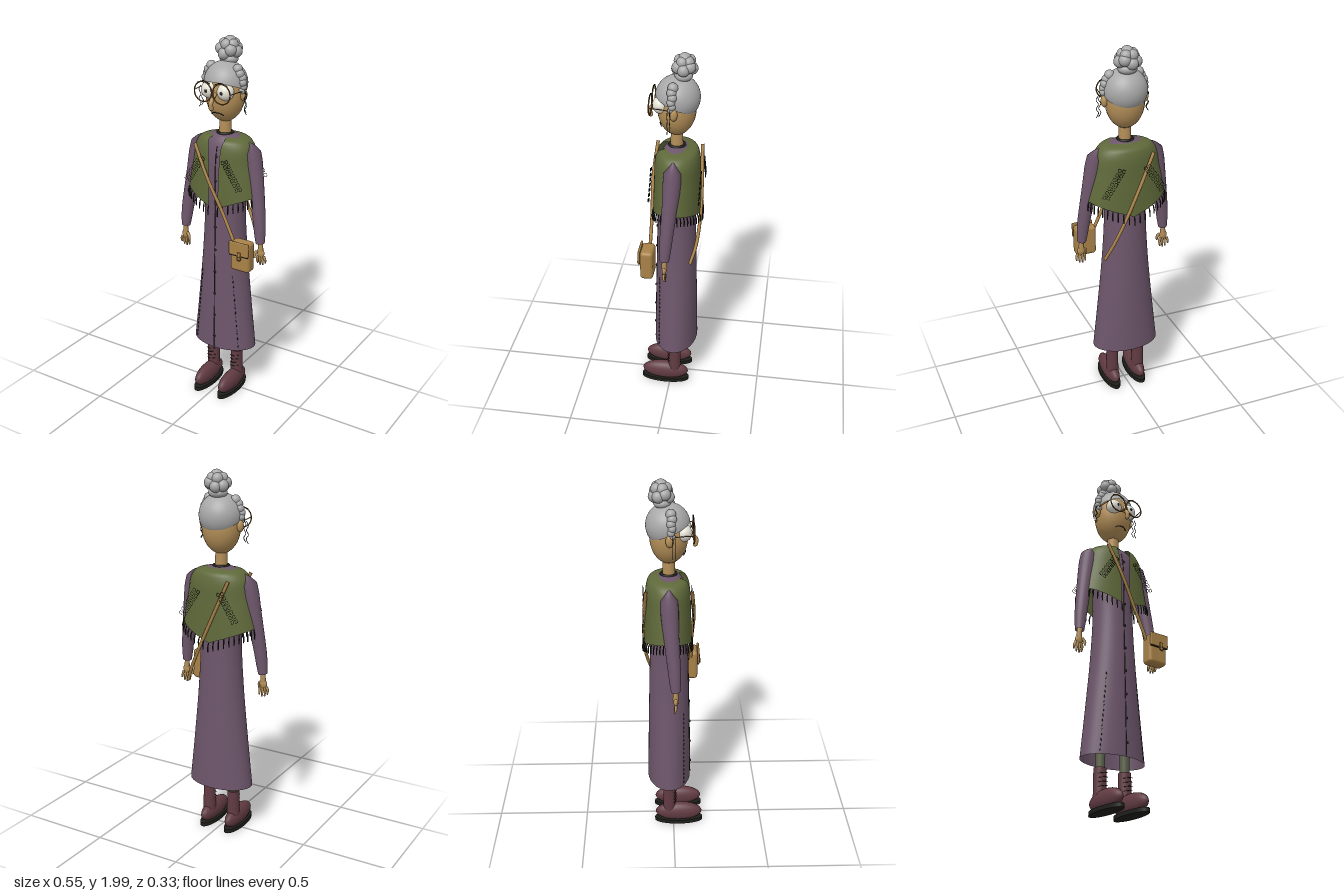
import * as THREE from 'three';
import { mergeVertices, mergeGeometries } from 'three/addons/utils/BufferGeometryUtils.js';
import { RoundedBoxGeometry } from 'three/addons/geometries/RoundedBoxGeometry.js';

const mat = (name, color, side = THREE.FrontSide) =>
  Object.assign(new THREE.MeshStandardMaterial({ color, side }), { name });
const V = (x, y, z) => new THREE.Vector3(x, y, z);
const BODY_Z = -0.023;

// Grid surface; f(u, v) gives a point, v runs downwards
function surface(nu, nv, f) {
  const pos = [], idx = [];
  for (let j = 0; j <= nv; j++)
    for (let i = 0; i <= nu; i++) pos.push(...f(i / nu, j / nv).toArray());
  for (let j = 0; j < nv; j++)
    for (let i = 0; i < nu; i++) {
      const a = j * (nu + 1) + i, b = a + nu + 1;
      idx.push(a, b, a + 1, b, b + 1, a + 1);
    }
  let g = new THREE.BufferGeometry();
  g.setAttribute('position', new THREE.Float32BufferAttribute(pos, 3));
  g.setIndex(idx);
  g = mergeVertices(g, 1e-5);
  g.computeVertexNormals();
  return g;
}

// Tube along a smooth path, with radius following a list
function limb(points, radii, n = 24, sides = 14) {
  const path = new THREE.CatmullRomCurve3(points);
  const g = new THREE.TubeGeometry(path, n, 1, sides);
  const p = g.attributes.position, v = V(0, 0, 0);
  for (let k = 0; k < p.count; k++) {
    const t = Math.floor(k / (sides + 1)) / n, s = t * (radii.length - 1);
    const i = Math.min(Math.floor(s), radii.length - 2);
    const r = THREE.MathUtils.lerp(radii[i], radii[i + 1], s - i);
    const c = path.getPointAt(t);
    v.fromBufferAttribute(p, k).sub(c).multiplyScalar(r).add(c);
    p.setXYZ(k, v.x, v.y, v.z);
  }
  return g;
}
const ball = (x, y, z, rx, ry = rx, rz = rx) =>
  new THREE.SphereGeometry(1, 28, 20).scale(rx, ry, rz).translate(x, y, z);
const wire = (points, r) =>
  new THREE.TubeGeometry(new THREE.CatmullRomCurve3(points), 20, r, 6);

export function createModel() {
  const root = new THREE.Group();
  const body = new THREE.Group();
  body.name = 'figure';
  body.position.x = 0.004;
  root.add(body);

  const coatMat = mat('plum cloth', 0x6d566b, THREE.DoubleSide);
  const shawlMat = mat('olive wool', 0x5f693a, THREE.DoubleSide);
  const skin = mat('tan skin', 0xb48f58);
  const hair = mat('grey hair', 0xa9a9a9);
  const boot = mat('maroon leather', 0x613b42);
  const sock = mat('moss stocking', 0x5b6149);
  const dark = mat('dark thread', 0x1e1f1a, THREE.DoubleSide);
  const leather = mat('tan leather', 0xa98248);
  const white = mat('eye white', 0xe9e6da);
  const rim = mat('brown frame', 0x7a5426);

  const add = (name, material, ...geos) => {
    const m = new THREE.Mesh(geos.length > 1 ? mergeGeometries(geos) : geos[0], material);
    m.name = name;
    body.add(m);
    return m;
  };

  // Coat: elliptical sections [rx, y, rz]
  const coatPath = new THREE.CatmullRomCurve3([
    V(0.045, 1.507, 0.042), V(0.1, 1.49, 0.062), V(0.135, 1.455, 0.08), V(0.125, 1.36, 0.098),
    V(0.112, 1.1, 0.1), V(0.125, 0.85, 0.106), V(0.155, 0.55, 0.113), V(0.185, 0.285, 0.118)]);
  add('coat', coatMat, surface(56, 50, (u, v) => {
    const p = coatPath.getPoint(v), a = u * Math.PI * 2;
    return V(p.x * Math.sin(a), p.y, p.z * Math.cos(a) + BODY_Z);
  }));
  const coatFront = (y, x) => {
    let best = coatPath.getPoint(0);
    for (let i = 1; i <= 200; i++) {
      const p = coatPath.getPoint(i / 200);
      if (Math.abs(p.y - y) < Math.abs(best.y - y)) best = p;
    }
    return V(x, y, BODY_Z + best.z * Math.sqrt(Math.max(0, 1 - (x / best.x) ** 2)) + 0.001);
  };

  // Coat front opening, buttons and dashed side seams
  const seam = [], buttons = [], dashes = [];
  for (let i = 0; i <= 14; i++) seam.push(coatFront(0.29 + i * 0.083, 0));
  for (let i = 0; i < 9; i++) {
    const p = coatFront(0.36 + i * 0.13, 0.004);
    buttons.push(ball(p.x, p.y, p.z + 0.003, 0.007, 0.007, 0.004));
  }
  for (const s of [-1, 1])
    for (let i = 0; i < 17; i++) {
      const y = 0.3 + i * 0.026, x = s * (0.135 - i * 0.0024);
      dashes.push(wire([coatFront(y, x), coatFront(y + 0.015, x - s * 0.0014)], 0.002));
    }
  add('coatOpening', dark, wire(seam, 0.0025));
  add('coatButtons', dark, ...buttons);
  add('coatSeams', dark, ...dashes);

  // Shawl: open at the front, lower edge dips at front and back
  const shawlPath = new THREE.CatmullRomCurve3([
    V(0.06, 0, 0.05), V(0.122, 0.04, 0.095), V(0.158, 0.14, 0.112), V(0.185, 0.5, 0.12), V(0.215, 1, 0.126)]);
  const shawlPoint = (u, v) => {
    const gap = 0.13 + 0.42 * (1 - v) ** 2;
    const a = THREE.MathUtils.lerp(gap, Math.PI * 2 - gap, u);
    const p = shawlPath.getPoint(v);
    const hem = 1.12 + 0.08 * Math.abs(Math.sin(a));
    return V(p.x * Math.sin(a), 1.5 - p.y * (1.5 - hem), p.z * Math.cos(a) + BODY_Z - 0.004);
  };
  add('shawl', shawlMat, surface(64, 30, shawlPoint));
  const tassels = [];
  for (let i = 0; i <= 44; i++) {
    const p = shawlPoint(i / 44, 1), q = p.clone().multiply(V(1.03, 1, 1.05));
    tassels.push(limb([p, q.clone().setY(p.y - 0.02), q.setY(p.y - 0.05)], [0.003, 0.004, 0.003], 4, 5));
  }
  add('shawlFringe', dark, ...tassels);

  // Stitched diamonds in slanting double rows, front and back
  const stitches = [];
  for (const s of [-1, 1]) for (const z of [0.1, -0.156])
    for (let i = 0; i < 7; i++) for (let k = 0; k < 2; k++)
      stitches.push(new THREE.TorusGeometry(0.012, 0.0016, 4, 4).scale(0.9, 1, 1).rotateZ(-s * 0.3)
        .translate(s * (0.06 + i * 0.014 + k * 0.022), 1.385 - i * 0.022 + k * 0.008, z));
  add('shawlStitching', dark, ...stitches);

  // Collar and neck
  add('collar', dark, new THREE.TorusGeometry(0.038, 0.008, 8, 32).rotateX(Math.PI / 2).translate(0, 1.506, BODY_Z));
  add('neck', skin, new THREE.CylinderGeometry(0.03, 0.033, 0.14, 24).translate(0, 1.55, -0.022));

  // Arms, hands, legs and boots
  for (const s of [-1, 1]) {
    const side = s > 0 ? 'left' : 'right';
    add(side + 'Sleeve', coatMat,
      limb([V(s * 0.14, 1.475, -0.024), V(s * 0.158, 1.44, -0.024), V(s * 0.185, 1.3, -0.018), V(s * 0.207, 1.17, -0.008),
        V(s * 0.225, 1.05, 0.002), V(s * 0.235, 0.945, 0.008)],
      [0.004, 0.044, 0.046, 0.044, 0.041, 0.039, 0.037, 0.035, 0.033, 0.03, 0.024], 40, 20));
    const hand = [
      limb([V(s * 0.234, 0.96, 0.008), V(s * 0.237, 0.93, 0.008), V(s * 0.238, 0.9, 0.008)], [0.016, 0.013, 0.016], 8),
      ball(s * 0.239, 0.89, 0.008, 0.022, 0.026, 0.012),
      limb([V(s * 0.222, 0.9, 0.012), V(s * 0.209, 0.88, 0.018), V(s * 0.208, 0.858, 0.02)], [0.009, 0.008, 0.005], 8)];
    for (let f = 0; f < 4; f++) {
      const x = 0.224 + f * 0.011, dx = (f - 1.2) * 0.005, len = [0.05, 0.058, 0.054, 0.042][f];
      hand.push(limb([V(s * x, 0.876, 0.008), V(s * (x + dx), 0.876 - len * 0.5, 0.008),
        V(s * (x + dx), 0.876 - len, 0.002)], [0.008, 0.007, 0.004], 8, 8));
    }
    add(side + 'Hand', skin, ...hand);

    add(side + 'Stocking', sock, new THREE.CylinderGeometry(0.03, 0.024, 0.5, 20).translate(s * 0.076, 0.46, BODY_Z));
    add(side + 'Boot', boot,
      new THREE.CylinderGeometry(0.033, 0.035, 0.16, 24).translate(s * 0.077, 0.16, BODY_Z),
      ball(s * 0.077, 0.068, 0.03, 0.041, 0.057, 0.131));
    add(side + 'Sole', dark, new THREE.CylinderGeometry(1, 1, 0.022, 36).scale(0.046, 1, 0.135).translate(s * 0.077, 0.019, 0.03));
    const laces = [];
    for (let i = 0; i < 4; i++)
      laces.push(wire([V(s * 0.077 - 0.027, 0.14 + i * 0.022, 0.004), V(s * 0.077, 0.145 + i * 0.022, 0.016),
        V(s * 0.077 + 0.027, 0.15 + i * 0.022, 0.004)], 0.002));
    add(side + 'Laces', dark, ...laces);
  }

  // Head, ears, long drooping nose
  add('head', skin, ball(0, 1.71, -0.022, 0.102, 0.142, 0.098));
  add('nose', skin, limb([V(0, 1.73, 0.07), V(0, 1.71, 0.1), V(0, 1.69, 0.115), V(0, 1.665, 0.112)],
    [0.008, 0.01, 0.012, 0.012], 14), ball(0, 1.665, 0.111, 0.0125));
  add('mouth', dark, wire([V(-0.035, 1.618, 0.05), V(-0.018, 1.628, 0.06), V(0.018, 1.628, 0.06), V(0.035, 1.618, 0.05)], 0.0025));

  // Hair cap, tilted up at the forehead
  const cap = new THREE.SphereGeometry(0.113, 40, 24, 0, Math.PI * 2, 0, Math.PI / 2 + 0.2)
    .rotateX(-0.4).translate(0, 1.768, -0.026);
  add('hairCap', hair, cap);

  // Bun of overlapping curls
  const bun = [ball(0, 1.885, -0.055, 0.05, 0.03, 0.045), ball(0, 1.93, -0.06, 0.045, 0.045, 0.04),
    ball(0.004, 1.968, -0.06, 0.033)];
  for (let i = 0; i < 7; i++) {
    const a = i * Math.PI * 2 / 7;
    bun.push(ball(0.042 * Math.cos(a), 1.925 + 0.012 * Math.sin(i * 2.4), -0.058 + 0.036 * Math.sin(a), 0.031));
    if (i < 5) bun.push(ball(0.027 * Math.cos(a * 1.4 + 0.4), 1.958, -0.06 + 0.026 * Math.sin(a * 1.4 + 0.4), 0.029));
  }
  add('bun', hair, ...bun);

  for (const s of [-1, 1]) {
    const side = s > 0 ? 'left' : 'right';
    add(side + 'Ear', skin, ball(s * 0.11, 1.72, -0.02, 0.017, 0.032, 0.02));

    // Curls at the temple with loose wisps below
    const curls = [];
    for (let i = 0; i < 6; i++)
      curls.push(ball(s * (0.078 + 0.034 * Math.sin(i * 0.42)), 1.848 - i * 0.021, -0.013 + 0.005 * (i % 2), 0.026 - i * 0.0018));
    add(side + 'Curls', hair, ...curls);
    const wisps = [];
    for (let k = 0; k < 2; k++)
      wisps.push(wire([0, 1, 2, 3, 4, 5].map(i => V(s * (0.122 + k * 0.008 + (i % 2 ? 0.012 : 0)),
        1.75 - i * 0.023 - k * 0.008, -0.005 + k * 0.012)), 0.0018));
    add(side + 'Wisps', dark, ...wisps);

    // Eye, pupil and spectacle lens ring
    add(side + 'Eye', white, ball(s * 0.048, 1.742, 0.053, 0.044, 0.044, 0.04));
    add(side + 'Pupil', dark, ball(s * 0.045, 1.742, 0.091, 0.009, 0.009, 0.004));
    add(side + 'LensRing', rim, new THREE.TorusGeometry(0.051, 0.0035, 8, 40).translate(s * 0.054, 1.742, 0.103));
    add(side + 'Temple', rim, wire([V(s * 0.105, 1.745, 0.103), V(s * 0.112, 1.745, 0.04), V(s * 0.118, 1.74, -0.02)], 0.0025));
    add(side + 'Brow', dark, wire([V(s * 0.015, 1.785, 0.101), V(s * 0.05, 1.797, 0.102), V(s * 0.088, 1.785, 0.101)], 0.0025));
  }
  add('spectacleBridge', rim, wire([V(-0.008, 1.75, 0.103), V(0, 1.755, 0.104), V(0.008, 1.75, 0.103)], 0.003));

  // Shoulder bag with flap, buckle and strap
  add('bag', leather, new RoundedBoxGeometry(0.114, 0.165, 0.068, 4, 0.018).translate(0.184, 0.9, 0.104));
  add('bagFlap', leather, new RoundedBoxGeometry(0.116, 0.075, 0.012, 3, 0.005).translate(0.184, 0.95, 0.143));
  add('bagFlapEdge', dark, new THREE.BoxGeometry(0.11, 0.004, 0.008).translate(0.184, 0.911, 0.143));
  add('bagTab', leather, new THREE.BoxGeometry(0.018, 0.04, 0.008).translate(0.192, 0.915, 0.151));
  add('bagBuckle', rim, new THREE.TorusGeometry(0.011, 0.0025, 6, 20).translate(0.192, 0.9, 0.155));
  add('frontStrap', leather, limb([V(-0.113, 1.46, 0.093), V(-0.03, 1.29, 0.107), V(0.06, 1.11, 0.1), V(0.135, 0.95, 0.1)],
    [0.009, 0.009], 24, 10));
  add('backStrap', leather, limb([V(-0.11, 1.46, -0.14), V(-0.04, 1.3, -0.15), V(0.05, 1.1, -0.153), V(0.11, 0.97, -0.14),
    V(0.15, 0.88, -0.115)], [0.009, 0.009], 24, 10));

  return root;
}
